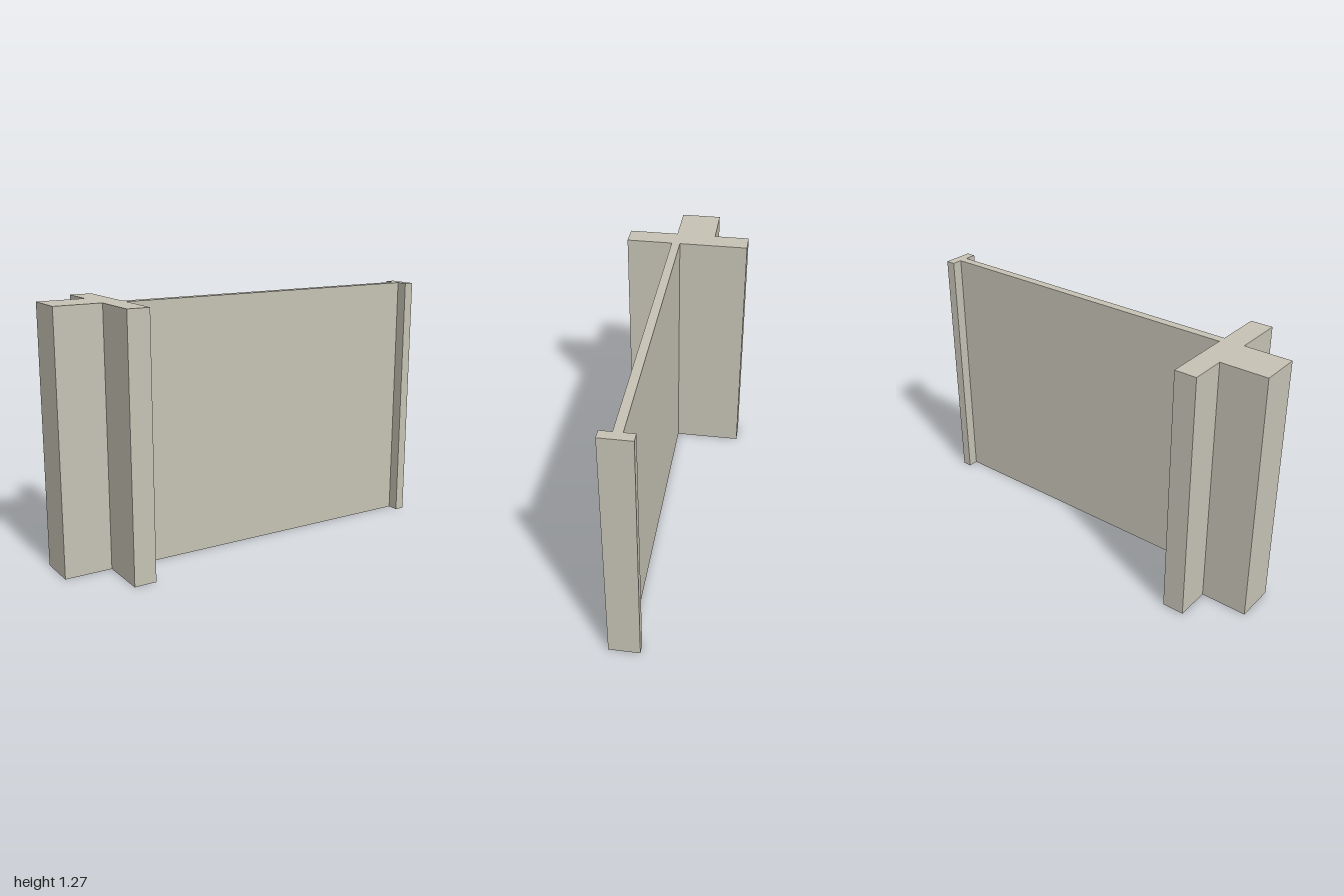
import * as THREE from 'three';

const HEIGHT = 1.27;

export function createModel() {
  const model = new THREE.Group();
  model.name = 'wallSection';

  const stone = new THREE.MeshStandardMaterial({ color: 0xc5c1b4 });
  stone.name = 'warm grey';

  // Plan outline as [x, z]: rear stub, cross slab, thin web and end flange in one solid
  const plan = [
    [-1, 0.065], [-0.765, 0.065],
    [-0.765, 0.315], [-0.655, 0.315],   // cross slab, front end
    [-0.655, 0.08], [0.952, 0.08],      // web, front face
    [0.952, 0.138], [1, 0.138],         // end flange
    [1, -0.015], [0.952, -0.015],
    [0.952, 0.037], [-0.655, 0.037],    // web, back face
    [-0.655, -0.315], [-0.765, -0.315], // cross slab, back end
    [-0.765, -0.137], [-1, -0.137],     // stub
  ];
  const outline = new THREE.Shape(plan.map(([x, z]) => new THREE.Vector2(x, -z)));

  // Extrude the plan upwards
  const geometry = new THREE.ExtrudeGeometry(outline, { depth: HEIGHT, bevelEnabled: false });
  geometry.rotateX(-Math.PI / 2);

  const wall = new THREE.Mesh(geometry, stone);
  wall.name = 'wallWithPierAndEndFlange';
  model.add(wall);
  return model;
}
